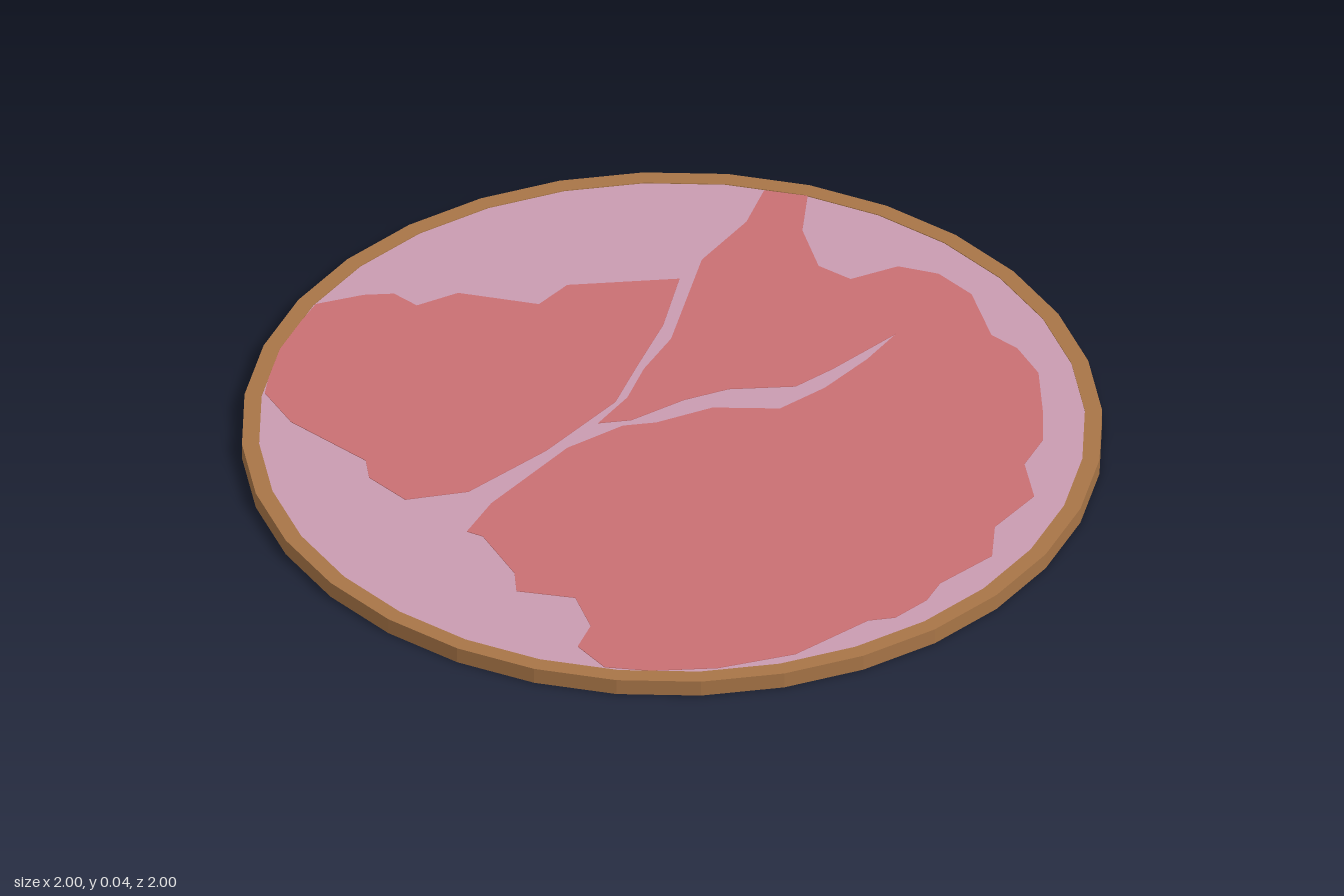
import * as THREE from 'three';

const SIDES = 32, HEIGHT = 0.04, INNER = 0.96;

// Outlines as x, z pairs seen from above
const SMALL_MUSCLE = [
  -0.94, 0.18, -0.88, 0.08, -0.83, 0.03, -0.76, 0.03, -0.72, -0.07, -0.55, -0.16, -0.55, -0.26,
  -0.37, -0.45, -0.28, -0.29, -0.22, -0.13, -0.165, 0.01, -0.16, 0.26, -0.19, 0.5, -0.28, 0.62,
  -0.4, 0.61, -0.45, 0.565, -0.68, 0.565, -0.8, 0.52, -0.89, 0.38,
];
const LARGE_MUSCLE = [
  -0.45, -0.84, -0.36, -0.89, -0.28, -0.78, -0.16, -0.7, -0.07, -0.71, -0.02, -0.82, 0.07, -0.86,
  0.18, -0.85, 0.32, -0.76, 0.4, -0.76, 0.5, -0.72, 0.61, -0.61, 0.68, -0.53, 0.71, -0.43,
  0.81, -0.35, 0.82, -0.2, 0.89, -0.11, 0.87, 0.05, 0.89, 0.12, 0.88, 0.22, 0.84, 0.27,
  0.8, 0.48, 0.7, 0.64, 0.59, 0.75, 0.5, 0.81, 0.4, 0.79, 0.37, 0.71, 0.27, 0.65,
  0.15, 0.72, 0.1, 0.67, -0.05, 0.61, -0.09, 0.62, -0.12, 0.5, -0.13, 0.22, -0.09, 0.07,
  -0.04, 0.01, 0.02, -0.12, 0.14, -0.22, 0.165, -0.35, 0.165, -0.5, 0.15, -0.62, 0.13, -0.42,
  0.11, -0.31, 0, -0.2, -0.05, -0.1, -0.09, 0.04, -0.14, 0.1, -0.155, -0.02, -0.2, -0.13,
  -0.23, -0.26, -0.38, -0.54, -0.4, -0.72,
];

const material = (color) => new THREE.MeshStandardMaterial({ color, flatShading: true });

function addPart(group, name, geometry, mat) {
  const mesh = new THREE.Mesh(geometry, mat);
  mesh.name = name;
  group.add(mesh);
}

// Flat slab from an outline, lying between two heights
function slab(outline, bottom, top) {
  const points = [];
  for (let i = 0; i < outline.length; i += 2) points.push(new THREE.Vector2(outline[i], -outline[i + 1]));
  const geometry = new THREE.ExtrudeGeometry(new THREE.Shape(points), { depth: top - bottom, bevelEnabled: false });
  return geometry.rotateX(-Math.PI / 2).translate(0, bottom, 0);
}

export function createModel() {
  const group = new THREE.Group();
  group.name = 'meatSlice';

  // Rind: a faceted ring with a rectangular section
  const section = [[INNER, 0], [1, 0], [1, HEIGHT], [INNER, HEIGHT], [INNER, 0]];
  const rind = new THREE.LatheGeometry(section.map(([r, y]) => new THREE.Vector2(r, y)), SIDES);
  addPart(group, 'rind', rind, material(0xa87547));

  // Fat: disc filling the rind
  const fat = new THREE.CylinderGeometry(INNER, INNER, HEIGHT - 0.004, SIDES);
  addPart(group, 'fat', fat.translate(0, HEIGHT / 2, 0), material(0xc99bb0));

  // Lean meat: two muscles showing on both faces, parted by thin veins of fat
  const lean = material(0xc96f73);
  addPart(group, 'smallMuscle', slab(SMALL_MUSCLE, 0.0005, HEIGHT - 0.0005), lean);
  addPart(group, 'largeMuscle', slab(LARGE_MUSCLE, 0.0005, HEIGHT - 0.0005), lean);

  return group;
}
